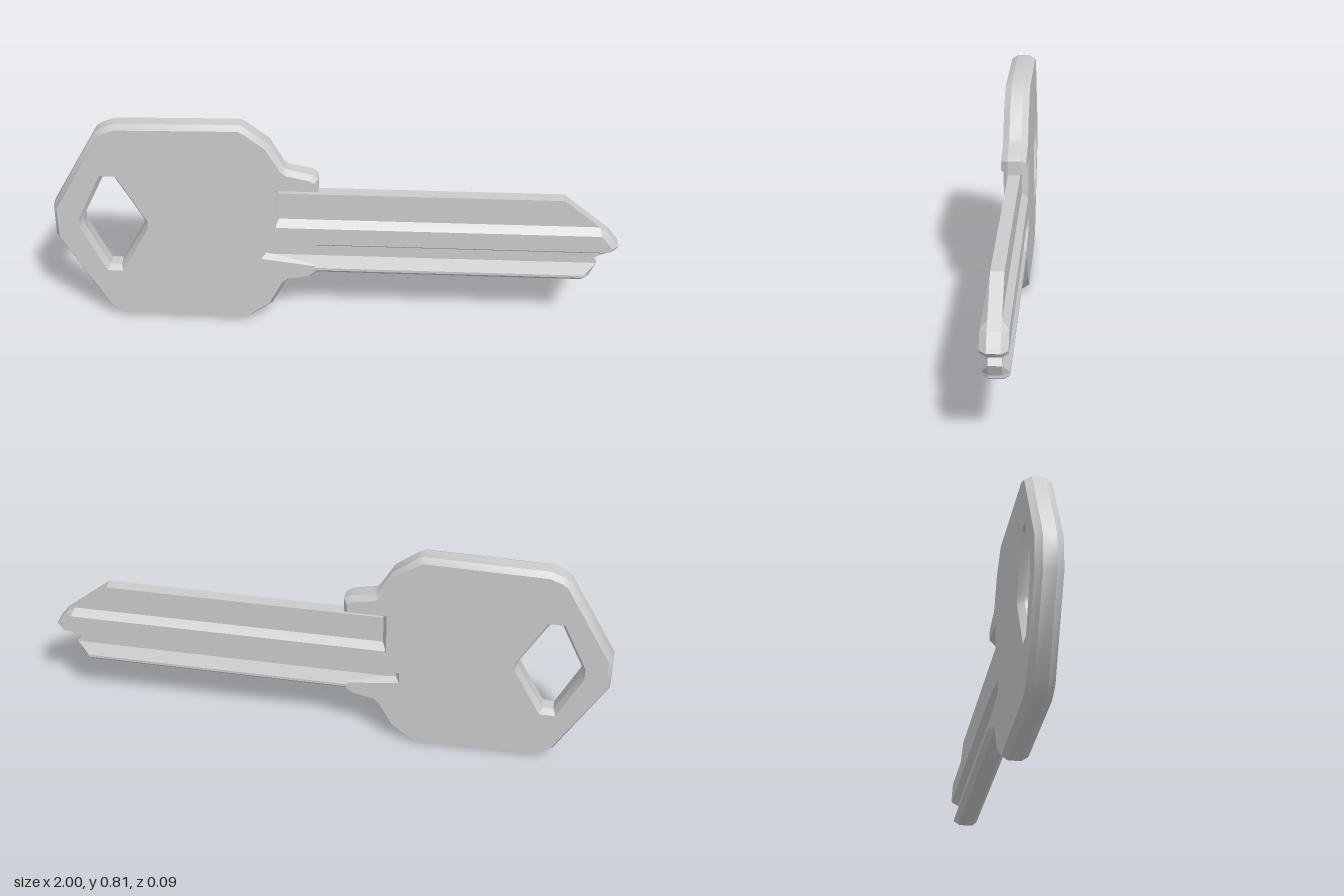
import * as THREE from 'three';
import { toCreasedNormals } from 'three/addons/utils/BufferGeometryUtils.js';

const HALF = 0.045; // half thickness of the head and the blade ridges
const CORE = 0.022; // half thickness of the milled web
const BEVEL = 0.014;

const material = new THREE.MeshStandardMaterial({ color: 0xcccccc });
const points = (list) => list.map(([x, y]) => new THREE.Vector2(x, y));

function part(name, geometry) {
  const mesh = new THREE.Mesh(geometry, material);
  mesh.name = name;
  return mesh;
}

// Bevelled plate with the shoulder hook, keyway groove and diamond hole
function headGeometry() {
  const shape = new THREE.Shape(points([
    [-1, 0.345], [-0.83, 0.045], [-0.805, 0.027], [-0.76, 0.01], [-0.33, 0],
    [-0.31, 0.01], [-0.23, 0.07], [-0.18, 0.165], [-0.165, 0.178], [-0.09, 0.193], [-0.06, 0.218],
    // groove running into the head
    [-0.06, 0.262], [-0.25, 0.287], [-0.25, 0.306], [-0.13, 0.321], [-0.085, 0.318], [-0.05, 0.332],
    // upper shelf and the step under the hook
    [-0.05, 0.41], [-0.2, 0.41], [-0.2, 0.55], [-0.06, 0.55], [-0.06, 0.603],
    [-0.08, 0.62], [-0.165, 0.638], [-0.18, 0.65], [-0.23, 0.74], [-0.31, 0.802], [-0.33, 0.812],
    [-0.76, 0.805], [-0.805, 0.788], [-0.83, 0.77], [-1, 0.47],
  ]));
  shape.holes.push(new THREE.Path(points([
    [-0.895, 0.425], [-0.815, 0.592], [-0.775, 0.592], [-0.68, 0.42],
    [-0.68, 0.393], [-0.775, 0.22], [-0.815, 0.22], [-0.895, 0.388],
  ])));
  const depth = 2 * CORE;
  const geometry = new THREE.ExtrudeGeometry(shape, {
    depth, bevelEnabled: true, bevelSegments: 1,
    bevelThickness: HALF - CORE, bevelSize: BEVEL, bevelOffset: -BEVEL,
  });
  geometry.translate(0, 0, -depth / 2);
  return toCreasedNormals(geometry, 0.52);
}

// Horizontal slices stacked upward; each has its own thickness and tip position
function bladeGeometry() {
  const rows = [ // y, half thickness, tip x
    [0.215, 0.028, 0.88], [0.232, HALF, 0.91], [0.242, HALF, 0.91],
    [0.283, CORE, 0.93], [0.305, CORE, 0.915], [0.325, CORE, 0.955],
    [0.343, HALF, 0.99], [0.357, HALF, 1], [0.375, HALF, 0.988],
    [0.41, HALF, 0.96], [0.435, CORE, 0.929], [0.54, CORE, 0.8],
  ];
  const start = -0.21;
  const position = [];
  const index = [];
  for (const [y, half, tip] of rows) {
    const corner = tip - Math.max(half - CORE, 0.004);
    const nose = Math.min(half, CORE);
    for (const [x, z] of [[start, half], [corner, half], [tip, nose],
      [tip, -nose], [corner, -half], [start, -half]]) position.push(x, y, z);
  }
  const n = 6;
  for (let i = 0; i < rows.length - 1; i++) {
    for (let j = 0; j < n; j++) {
      const a = i * n + j;
      const b = i * n + (j + 1) % n;
      index.push(a, b, b + n, a, b + n, a + n);
    }
  }
  const top = (rows.length - 1) * n;
  for (let j = 1; j < n - 1; j++) {
    index.push(0, j + 1, j, top, top + j, top + j + 1);
  }
  const geometry = new THREE.BufferGeometry();
  geometry.setAttribute('position', new THREE.Float32BufferAttribute(position, 3));
  geometry.setIndex(index);
  const flat = geometry.toNonIndexed();
  flat.computeVertexNormals();
  return flat;
}

export function createModel() {
  const key = new THREE.Group();
  key.name = 'key';
  key.add(part('head', headGeometry()), part('blade', bladeGeometry()));

  // Floor of the groove where it runs into the head
  const web = part('grooveFloor', new THREE.BoxGeometry(0.08, 0.06, 2 * CORE));
  web.position.set(-0.235, 0.297, 0);
  key.add(web);
  return key;
}
